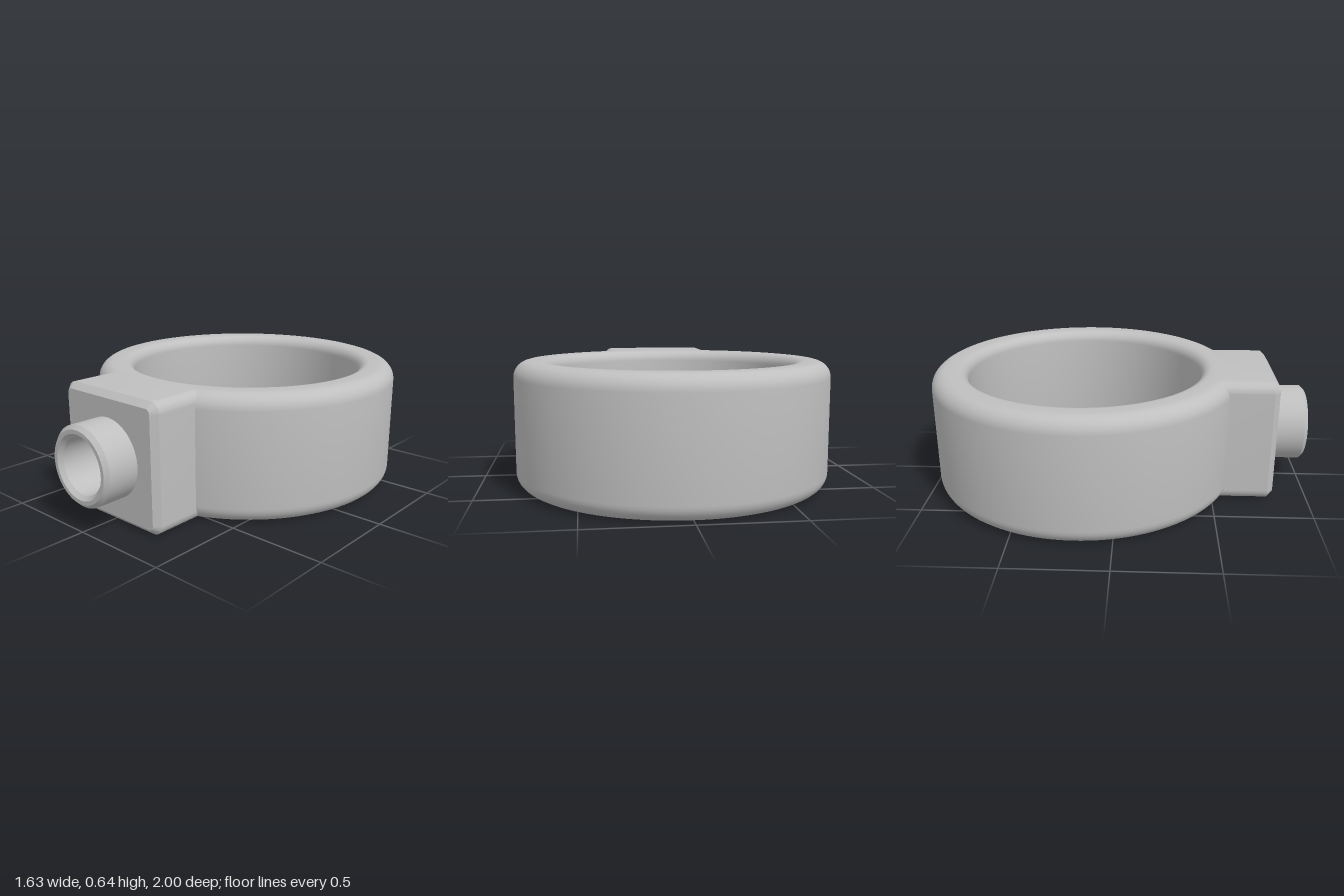
import * as THREE from 'three';
import { toCreasedNormals } from 'three/addons/utils/BufferGeometryUtils.js';

const HEIGHT = 0.645, MID = HEIGHT / 2, RING_Z = -0.185;

// Quarter-round corner as profile points, from angle a0 (degrees) through 90 degrees
function fillet(cx, cy, r, a0, steps = 8) {
  return Array.from({ length: steps + 1 }, (_, i) => {
    const a = THREE.MathUtils.degToRad(a0 + (90 * i) / steps);
    return new THREE.Vector2(cx + r * Math.cos(a), cy + r * Math.sin(a));
  });
}

function roundedSquare(w, h, r) {
  const s = new THREE.Shape();
  s.absarc(w - r, h - r, r, 0, Math.PI / 2);
  s.absarc(-w + r, h - r, r, Math.PI / 2, Math.PI);
  s.absarc(-w + r, -h + r, r, Math.PI, Math.PI * 1.5);
  s.absarc(w - r, -h + r, r, Math.PI * 1.5, Math.PI * 2);
  s.closePath();
  return s;
}

export function createModel() {
  const model = new THREE.Group();
  const grey = new THREE.MeshStandardMaterial({ color: 0xbfbfbf });
  grey.name = 'grey metal';

  const add = (name, geometry, y, z) => {
    const mesh = new THREE.Mesh(toCreasedNormals(geometry, 0.5), grey);
    mesh.name = name;
    mesh.position.set(0, y, z);
    model.add(mesh);
    return mesh;
  };

  // Band with rounded outer and inner rims
  const outer = 0.815, inner = 0.625, ro = 0.08, ri = 0.057;
  const band = [
    ...fillet(outer - ro, ro, ro, -90),
    ...fillet(outer - ro, HEIGHT - ro, ro, 0),
    ...fillet(inner + ri, HEIGHT - ri, ri, 90),
    ...fillet(inner + ri, ri, ri, 180),
  ];
  band.push(band[0].clone());
  add('ringBand', new THREE.LatheGeometry(band, 128), 0, RING_Z);

  // Chamfered mounting block, its back buried in the band
  const plate = roundedSquare(0.32, MID, 0.055);
  plate.holes.push(new THREE.Path().absarc(0, 0, 0.16, 0, Math.PI * 2, true));
  const block = new THREE.ExtrudeGeometry(plate, {
    depth: 0.29, bevelEnabled: true, bevelThickness: 0.03, bevelSize: 0.03,
    bevelOffset: -0.03, bevelSegments: 1, curveSegments: 10,
  });
  add('mountingBlock', block, MID, 0.5);

  // Hollow spout with chamfered mouth and a blind bore
  const spout = [
    [0.2, 0.8], [0.2, 0.98], [0.18, 1], [0.16, 1],
    [0.14, 0.98], [0.14, 0.645], [0, 0.645],
  ].map(([r, z]) => new THREE.Vector2(r, z));
  add('spout', new THREE.LatheGeometry(spout, 64), MID, 0).rotation.x = Math.PI / 2;

  return model;
}
